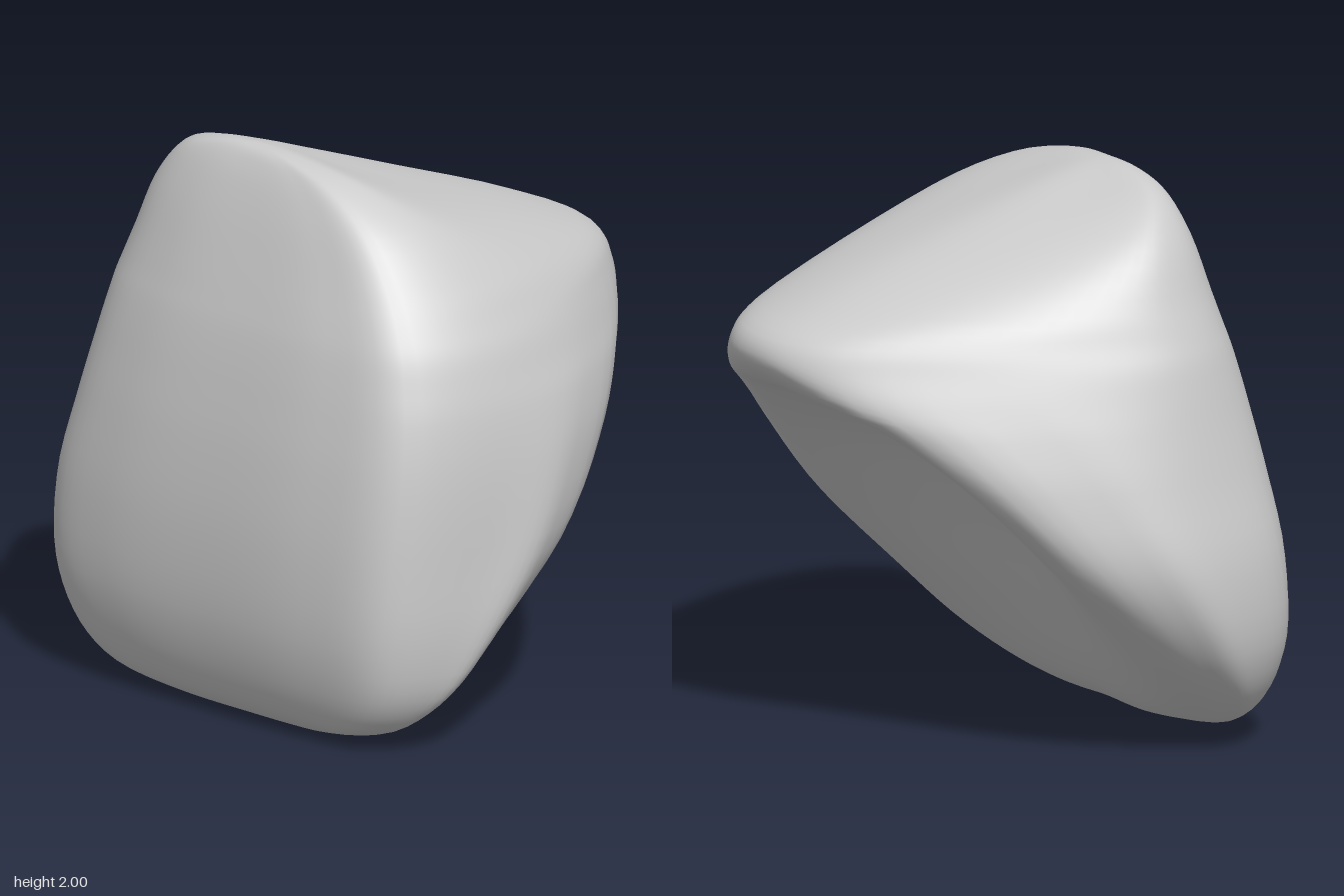
import * as THREE from 'three';
import { mergeVertices } from 'three/addons/utils/BufferGeometryUtils.js';

const AROUND = 72;
const UP = 64;

// Horizontal sections from base to top:
// y, -x side, +x side, side z, front z, back shoulder z, shoulder half width, back middle z, middle x
const LEVELS = [
  [0.02, -0.38, 0.5, 0.64, 0.71, 0.57, 0.25, 0.58, 0.05],
  [0.08, -0.67, 0.74, 0.63, 0.77, 0.49, 0.42, 0.5, 0.03],
  [0.2, -0.83, 0.86, 0.59, 0.82, 0.37, 0.59, 0.41, 0.02],
  [0.4, -0.94, 0.93, 0.51, 0.86, 0.18, 0.69, 0.3, 0],
  [0.7, -0.97, 0.965, 0.39, 0.865, -0.11, 0.73, 0.14, 0.02],
  [1.0, -0.907, 0.97, 0.31, 0.835, -0.38, 0.63, -0.09, 0.05],
  [1.2, -0.857, 0.947, 0.28, 0.8, -0.58, 0.5, -0.42, 0.07],
  [1.32, -0.825, 0.915, 0.27, 0.775, -0.71, 0.39, -0.76, 0.08],
  [1.42, -0.795, 0.88, 0.27, 0.75, -0.74, 0.33, -0.86, 0.09],
  [1.5, -0.76, 0.835, 0.28, 0.725, -0.7, 0.32, -0.84, 0.09],
  [1.6, -0.715, 0.77, 0.29, 0.692, -0.5, 0.34, -0.65, 0.06],
  [1.8, -0.61, 0.59, 0.36, 0.622, 0.01, 0.31, -0.11, 0],
  [1.93, -0.46, 0.35, 0.44, 0.565, 0.32, 0.2, 0.25, -0.05],
  [1.985, -0.27, 0.1, 0.48, 0.525, 0.43, 0.1, 0.41, -0.08],
];

// One closed section: flat front, rounded sides, two back shoulders with a hollow or tip between
function section([y, left, right, sideZ, front, back, half, middle, cx]) {
  const flank = (x, dir, rounding, bulge) => {
    const shoulder = cx + dir * half;
    return [
      [x * 0.5 + cx * 0.5, front - (front - sideZ) * 0.04],
      [cx + (x - cx) * 0.86, front - (front - sideZ) * rounding],
      [x, sideZ],
      [(x + shoulder) / 2 + (x - cx) * bulge, (sideZ + back) / 2],
      [shoulder, back],
    ];
  };
  const loop = [
    [cx, front], ...flank(right, 1, 0.24, 0.13),
    [cx, middle], ...flank(left, -1, 0.29, 0.11).reverse(),
  ];
  const curve = new THREE.CatmullRomCurve3(
    loop.map(([x, z]) => new THREE.Vector3(x, y, z)), true, 'catmullrom', 0.5);
  return Array.from({ length: AROUND }, (_, j) => curve.getPoint(j / AROUND));
}

function rockGeometry() {
  const pole = (x, y, z) => Array.from({ length: AROUND }, () => new THREE.Vector3(x, y, z));
  const sections = [pole(0.08, 0, 0.63), ...LEVELS.map(section), pole(-0.09, 2, 0.48)];

  // Smooth columns through the sections
  const columns = [];
  for (let j = 0; j < AROUND; j++) {
    columns.push(new THREE.CatmullRomCurve3(sections.map((s) => s[j]), false, 'centripetal'));
  }
  const positions = [];
  for (let i = 0; i <= UP; i++) {
    for (const column of columns) positions.push(...column.getPoint(i / UP).toArray());
  }

  // Quads between rows, single triangles at the two poles
  const index = [];
  for (let i = 0; i < UP; i++) {
    for (let j = 0; j < AROUND; j++) {
      const a = i * AROUND + j, b = i * AROUND + (j + 1) % AROUND;
      const c = b + AROUND, d = a + AROUND;
      if (i > 0) index.push(a, b, d);
      if (i < UP - 1) index.push(b, c, d);
    }
  }
  const geometry = new THREE.BufferGeometry();
  geometry.setAttribute('position', new THREE.Float32BufferAttribute(positions, 3));
  geometry.setIndex(index);
  const merged = mergeVertices(geometry, 1e-4);
  merged.computeVertexNormals();
  return merged;
}

export function createModel() {
  const group = new THREE.Group();
  group.name = 'boulder';
  const rock = new THREE.Mesh(rockGeometry(), new THREE.MeshStandardMaterial({ color: 0xcccccc }));
  rock.name = 'rock';
  group.add(rock);
  return group;
}
